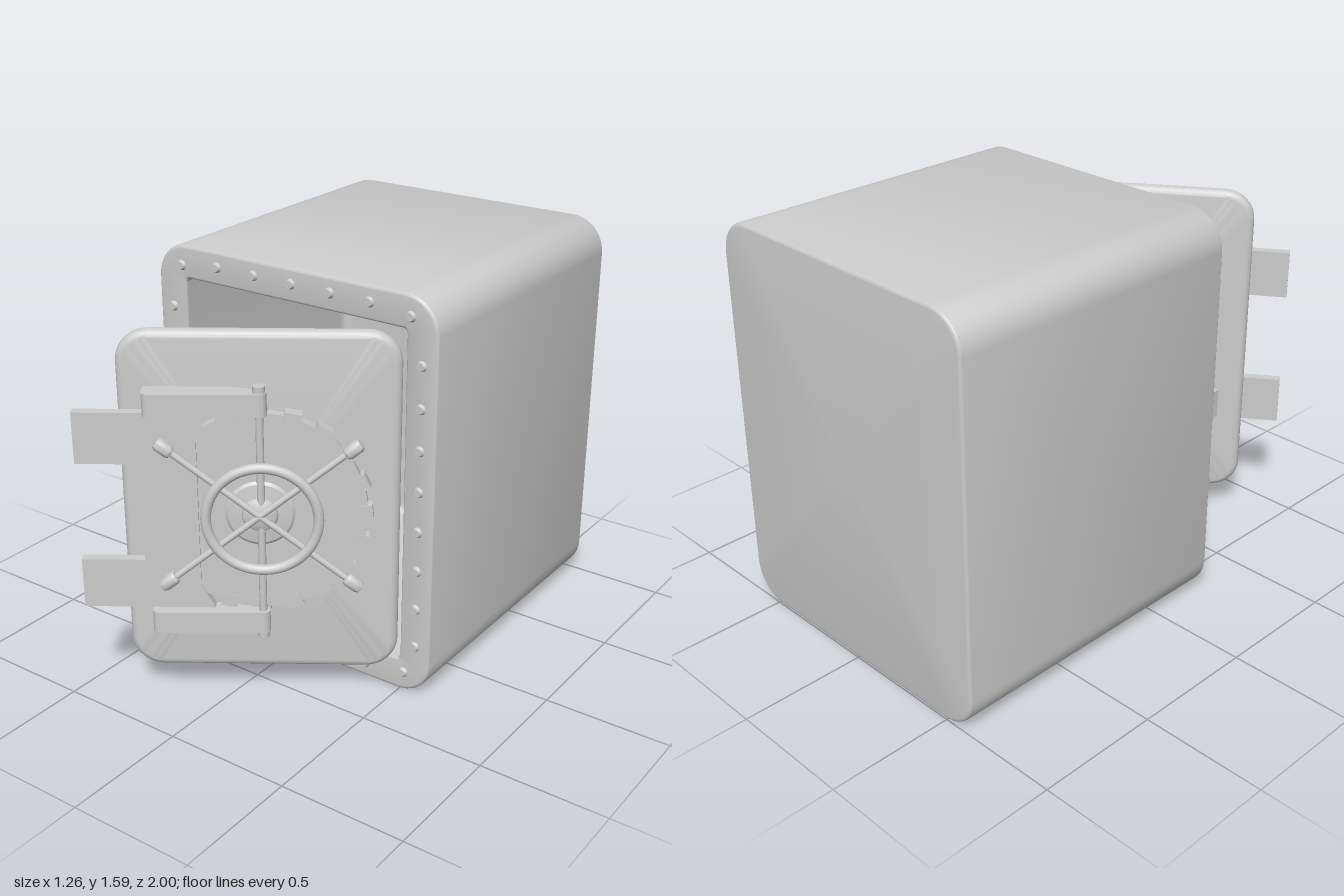
import * as THREE from 'three';
import { toCreasedNormals } from 'three/addons/utils/BufferGeometryUtils.js';

const material = new THREE.MeshStandardMaterial({ color: 0xcccccc, roughness: 0.6 });

function add(parent, name, geometry, x = 0, y = 0, z = 0) {
  const mesh = new THREE.Mesh(geometry, material);
  mesh.name = name;
  mesh.position.set(x, y, z);
  parent.add(mesh);
  return mesh;
}

// Points of a rounded rectangle, counter-clockwise
function roundedLoop(w, h, r, steps = 10) {
  const points = [];
  [[1, 1], [-1, 1], [-1, -1], [1, -1]].forEach(([sx, sy], corner) => {
    for (let i = 0; i <= steps; i++) {
      const a = (corner + i / steps) * Math.PI / 2;
      points.push([sx * (w / 2 - r) + r * Math.cos(a), sy * (h / 2 - r) + r * Math.sin(a)]);
    }
  });
  return points;
}

// Skin over rounded rectangles given as [inset, z], capped at both ends
function loft(w, h, r, sections) {
  const loops = sections.map(([inset, z]) =>
    roundedLoop(w - 2 * inset, h - 2 * inset, Math.max(r - inset, 0.02)).map(([x, y]) => [x, y, z]));
  const n = loops[0].length;
  const out = [];
  const tri = (...corners) => corners.forEach((p) => out.push(...p));
  const first = [0, 0, sections[0][1]];
  const last = [0, 0, sections[sections.length - 1][1]];
  for (let i = 0; i < n; i++) {
    const j = (i + 1) % n;
    tri(first, loops[0][j], loops[0][i]);
    for (let k = 0; k < loops.length - 1; k++) {
      const a = loops[k], b = loops[k + 1];
      tri(a[i], a[j], b[j]);
      tri(a[i], b[j], b[i]);
    }
    tri(last, loops[loops.length - 1][i], loops[loops.length - 1][j]);
  }
  const geometry = new THREE.BufferGeometry();
  geometry.setAttribute('position', new THREE.Float32BufferAttribute(out, 3));
  return toCreasedNormals(geometry, 0.5);
}

// Section points on an arc around [inset, z]
function arc(inset, z, r, from, to, steps = 5) {
  return Array.from({ length: steps + 1 }, (_, i) => {
    const a = (from + (to - from) * i / steps) * Math.PI / 180;
    return [inset + r * Math.cos(a), z + r * Math.sin(a)];
  });
}

// Cylinder whose axis points along z
function disc(r1, r2, depth, sides = 32) {
  return new THREE.CylinderGeometry(r1, r2, depth, sides).rotateX(Math.PI / 2);
}

function buildBody() {
  const body = new THREE.Group();
  body.name = 'body';

  // Hollow shell: outside, front rim, then the cavity
  add(body, 'shell', loft(1.26, 1.59, 0.14, [
    ...arc(0.015, -0.985, 0.015, 270, 180),
    ...arc(0.015, 0.245, 0.015, 180, 90),
    ...arc(0.12, 0.245, 0.012, 90, 0),
    ...arc(0.172, -0.76, 0.04, 180, 270),
  ]), 0, 0.795, 0);

  // Rivets around the rim
  const spots = [];
  for (let i = -3; i <= 3; i++) {
    const corner = Math.abs(i) === 3 ? 0.02 : 0;
    spots.push([i * 0.172, 1.528 - corner], [i * 0.172, 0.06 + corner]);
  }
  for (let i = 0; i < 8; i++) {
    const y = 0.21 + i * 0.161;
    spots.push([0.565, y]);
    if (i !== 4) spots.push([-0.565, y]);
  }
  const rivet = disc(0.015, 0.021, 0.012, 16);
  spots.forEach(([x, y]) => add(body, 'rivet', rivet, x, y, 0.264));

  // Latch catch on the rim
  add(body, 'catchFoot', new THREE.BoxGeometry(0.025, 0.13, 0.03), -0.568, 0.8, 0.27);
  add(body, 'catchHead', new THREE.BoxGeometry(0.045, 0.11, 0.04), -0.577, 0.81, 0.296);
  add(body, 'catchLip', new THREE.BoxGeometry(0.045, 0.03, 0.025), -0.577, 0.75, 0.28);
  return body;
}

function buildDoor() {
  const door = new THREE.Group();
  door.name = 'door';

  add(door, 'doorSlab', loft(1.0, 1.345, 0.12, [
    ...arc(0.03, 0, 0.03, 270, 180, 6),
    ...arc(0.03, 0, 0.03, 180, 90, 6).slice(1),
  ]));

  const lock = new THREE.Group();
  lock.name = 'lockMechanism';
  lock.position.y = 0.01;
  door.add(lock);

  // Toothed disc
  add(lock, 'gearDisc', disc(0.385, 0.385, 0.035, 60), 0, 0, 0.072);
  add(lock, 'gearBoss', disc(0.15, 0.15, 0.04), 0, 0, 0.045);
  const tooth = new THREE.BoxGeometry(0.05, 0.06, 0.045);
  for (let i = 0; i < 20; i++) {
    const a = i * Math.PI / 10;
    const mesh = add(lock, 'gearTooth', tooth, 0.377 * Math.cos(a), 0.377 * Math.sin(a), 0.07);
    mesh.rotation.z = a + 0.12;
  }

  // Hinge plate with two straps reaching past the door edge
  const plate = new THREE.Shape([
    [-0.65, 0.385], [-0.65, 0.19], [-0.42, 0.19], [-0.42, -0.19], [-0.65, -0.19], [-0.65, -0.385],
    [-0.17, -0.385], [-0.22, -0.29], [-0.22, 0.29], [-0.17, 0.385],
  ].map(([x, y]) => new THREE.Vector2(x, y)));
  add(lock, 'hingePlate', new THREE.ExtrudeGeometry(plate, { depth: 0.037, bevelEnabled: false }), 0, 0, 0.062);

  // Arms holding the vertical rod, rounded at both ends
  const armShape = new THREE.Shape();
  armShape.moveTo(-0.4, -0.06);
  armShape.lineTo(-0.4, -0.11);
  armShape.quadraticCurveTo(-0.4, -0.142, -0.365, -0.142);
  armShape.lineTo(-0.06, -0.135);
  armShape.lineTo(0.01, -0.135);
  armShape.absarc(0.005, -0.11, 0.026, -Math.PI / 2, Math.PI / 2, false);
  armShape.lineTo(-0.1, -0.06);
  const arm = toCreasedNormals(
    new THREE.ExtrudeGeometry(armShape, { depth: 0.085, bevelEnabled: false, curveSegments: 8 })
      .rotateX(-Math.PI / 2).translate(0, -0.0425, 0), 0.6);
  for (const s of [-1, 1]) {
    add(lock, 'rodArm', arm, 0, s * 0.428, 0);
    add(lock, 'rodCap', new THREE.CylinderGeometry(0.022, 0.022, 0.03, 20), 0.005, s * 0.48, 0.11);
    add(lock, 'plateSpacer', new THREE.CylinderGeometry(0.022, 0.022, 0.06, 16).rotateX(Math.PI / 2), -0.34, s * 0.3, 0.05);
  }
  add(lock, 'verticalRod', new THREE.CylinderGeometry(0.014, 0.014, 0.94, 16), 0.005, 0, 0.11);

  // Domed hub
  const hubProfile = [[0.125, 0], [0.125, 0.012], [0.115, 0.02], [0.065, 0.026], [0.06, 0.036], [0.045, 0.044], [0, 0.047]]
    .map(([r, y]) => new THREE.Vector2(r, y));
  add(lock, 'hub', toCreasedNormals(new THREE.LatheGeometry(hubProfile, 40).rotateX(Math.PI / 2), 0.5), 0, 0, 0.08);

  // Crossed handle bars with grips
  for (const sx of [-1, 1]) {
    for (const sy of [-1, 1]) {
      const bar = new THREE.Group();
      bar.name = 'handleBar';
      bar.position.z = 0.12;
      bar.rotation.z = Math.atan2(sy * 0.275, sx * 0.345) - Math.PI / 2;
      add(bar, 'barShaft', new THREE.CylinderGeometry(0.012, 0.012, 0.42, 16), 0, 0.21, 0);
      const grip = [[0, 0.39], [0.019, 0.39], [0.025, 0.4], [0.025, 0.445], [0.02, 0.457], [0, 0.46]]
        .map(([r, y]) => new THREE.Vector2(r, y));
      add(bar, 'barGrip', toCreasedNormals(new THREE.LatheGeometry(grip.slice(), 20), 0.6));
      lock.add(bar);
    }
  }

  // Hand wheel
  add(lock, 'handWheel', new THREE.TorusGeometry(0.2, 0.019, 16, 64), 0.01, 0, 0.145);
  return door;
}

export function createModel() {
  const safe = new THREE.Group();
  safe.name = 'safe';
  safe.add(buildBody());

  // Door swung open
  const door = buildDoor();
  door.position.set(0.085, 0.79, 0.555);
  door.rotation.y = THREE.MathUtils.degToRad(34.4);
  safe.add(door);
  return safe;
}
